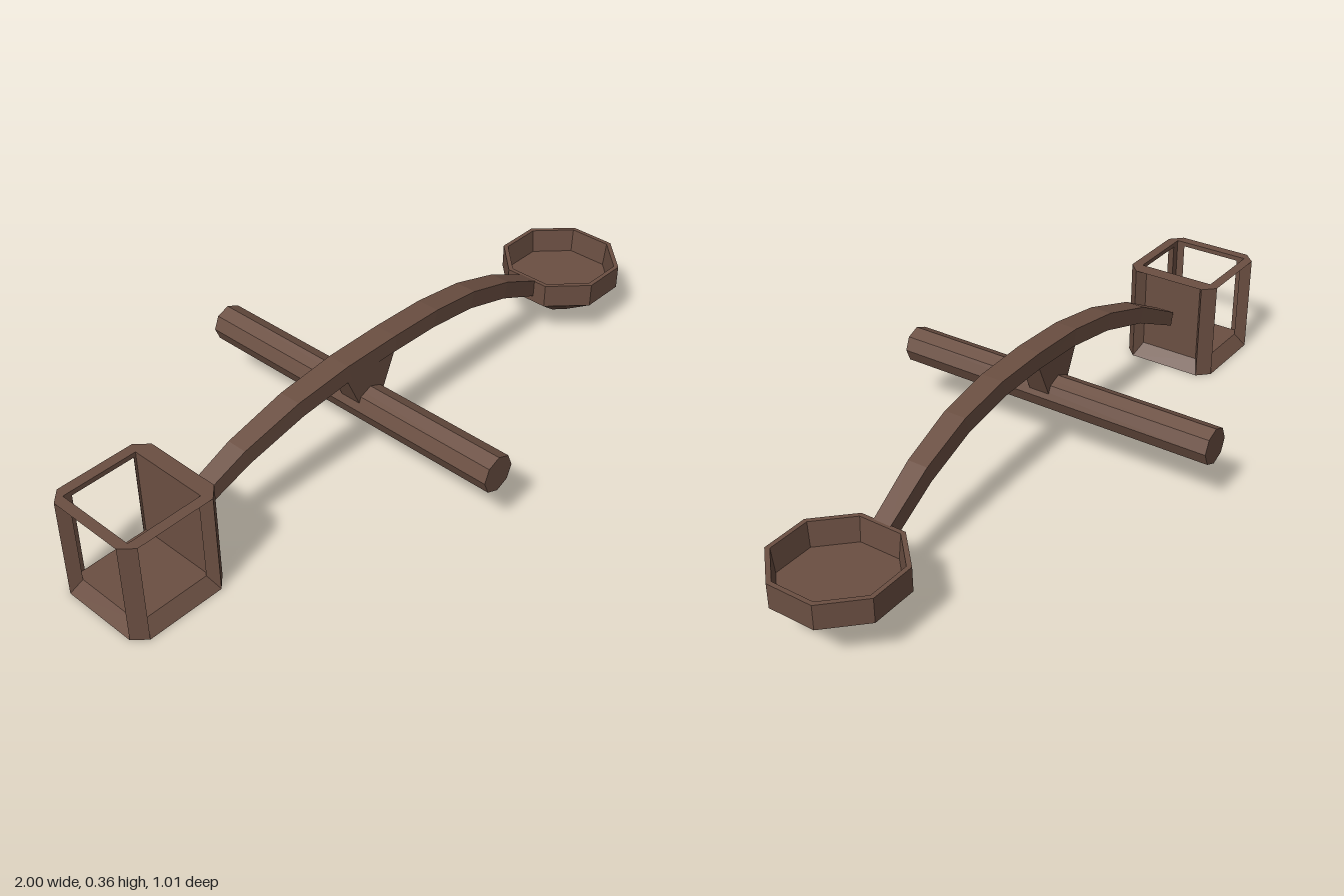
import * as THREE from 'three';

const wood = new THREE.MeshStandardMaterial({ color: 0x6b4f42 });
wood.name = 'brown wood';

// Faceted mesh: every face gets its own flat normal
function part(name, geometry, parent) {
  const g = geometry.index ? geometry.toNonIndexed() : geometry;
  g.computeVertexNormals();
  const mesh = new THREE.Mesh(g, wood);
  mesh.name = name;
  parent.add(mesh);
  return mesh;
}

// Prism of a 2D outline, centred along z
function prism(points, depth) {
  const shape = new THREE.Shape(points.map(([x, y]) => new THREE.Vector2(x, y)));
  return new THREE.ExtrudeGeometry(shape, { depth, bevelEnabled: false }).translate(0, 0, -depth / 2);
}

// Bowed beam: a box whose slices follow an arch and a slight sideways bend
function beamGeometry() {
  const slices = [ // x top, y top, x bottom, y bottom
    [-0.715, 0.187, -0.705, 0.145], [-0.545, 0.275, -0.53, 0.227], [-0.365, 0.33, -0.35, 0.28],
    [-0.19, 0.355, -0.175, 0.305], [-0.01, 0.36, -0.01, 0.31], [0.165, 0.355, 0.15, 0.305],
    [0.335, 0.33, 0.32, 0.28], [0.505, 0.275, 0.49, 0.225], [0.67, 0.193, 0.66, 0.143],
  ];
  const g = new THREE.BoxGeometry(8, 1, 1, 8, 1, 1);
  const p = g.attributes.position;
  for (let i = 0; i < p.count; i++) {
    const k = Math.round(p.getX(i) + 4);
    const t = (k - 4) / 4;
    const [xt, yt, xb, yb] = slices[k];
    const top = p.getY(i) > 0;
    const z = 0.027 - 0.03 * t * t + Math.sign(p.getZ(i)) * (0.035 - 0.008 * t * t);
    p.setXYZ(i, top ? xt : xb, top ? yt : yb, z);
  }
  return g;
}

// Open crate: chamfered corner posts, bevelled rails and sills, one closed side
function createCage() {
  const cage = new THREE.Group();
  cage.name = 'cage';
  const post = [[0.15, 0.115], [0.115, 0.15], [0.095, 0.12], [0.12, 0.12], [0.12, 0.095]];
  const rail = [[0.15, 0.3], [0.12, 0.3], [0.12, 0.286]];
  const sill = [[0.15, 0], [0.12, 0.04], [0.12, 0]];
  for (let i = 0; i < 4; i++) {
    const turn = i * Math.PI / 2;
    const upright = prism(post, 0.3).rotateX(-Math.PI / 2).translate(0, 0.15, 0);
    part('cornerPost', upright.rotateY(turn), cage);
    part('topRail', prism(rail, 0.23).rotateY(turn), cage);
    part('bottomSill', prism(sill, 0.23).rotateY(turn), cage);
  }
  part('cageFloor', new THREE.BoxGeometry(0.24, 0.04, 0.24).translate(0, 0.02, 0), cage);
  part('backPanel', new THREE.BoxGeometry(0.018, 0.3, 0.24).translate(0.111, 0.15, 0), cage);
  cage.position.set(-0.85, 0, -0.015);
  return cage;
}

export function createModel() {
  const model = new THREE.Group();
  model.name = 'catapultArm';

  part('beam', beamGeometry(), model);

  // Axle and the wedge joining it to the beam
  part('axle', new THREE.CylinderGeometry(0.054, 0.054, 1.006, 8).rotateX(Math.PI / 2), model)
    .position.set(-0.105, 0.19, -0.003);
  const wedge = [[-0.195, 0.31], [-0.145, 0.2], [-0.06, 0.2], [-0.01, 0.312]];
  part('axleBracket', prism(wedge, 0.064), model).position.z = 0.027;

  // Eight-sided cup; profile holds flat-to-flat half widths
  const profile = [[0, 0.03], [0.05, 0.03], [0.169, 0.123], [0.169, 0.195], [0.156, 0.195], [0.149, 0.122], [0, 0.122]]
    .map(([r, y]) => new THREE.Vector2(r / Math.cos(Math.PI / 8), y));
  part('cup', new THREE.LatheGeometry(profile, 8, Math.PI / 8), model).position.set(0.831, 0, -0.004);

  model.add(createCage());
  return model;
}
